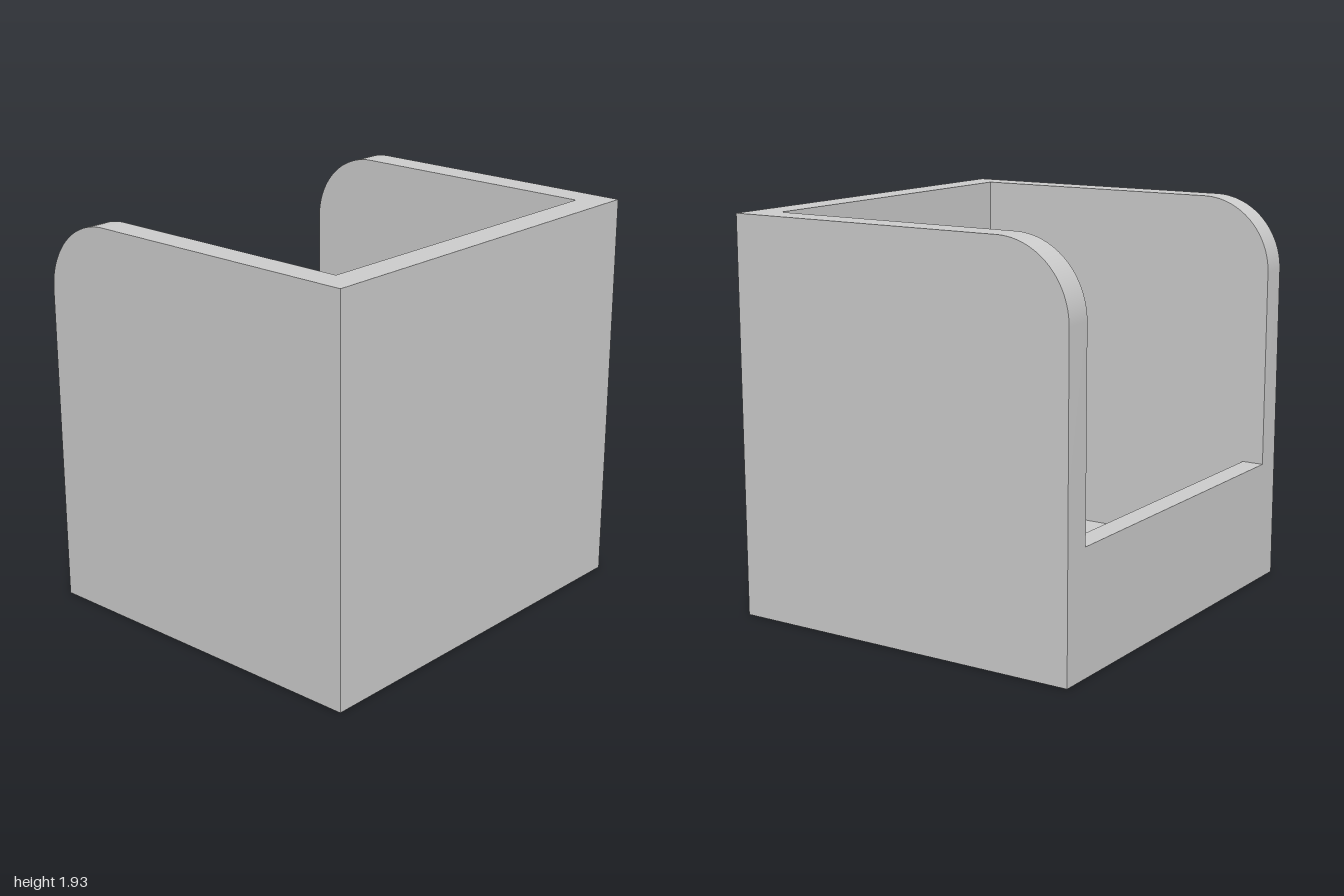
import * as THREE from 'three';
import { toCreasedNormals } from 'three/addons/utils/BufferGeometryUtils.js';

const HEIGHT = 1.935, DEPTH = 0.9, CORNER = 0.36;
const INNER_RIGHT = -0.865, INNER_LEFT = 0.855; // inside faces of the side walls
const INNER_FRONT = 0.755, INNER_BACK = -0.79;  // inside faces of front wall and back lip
const FLOOR = 0.145, LIP = 0.6;

const material = new THREE.MeshStandardMaterial({ color: 0xcccccc });

// Box given by its x, y and z ranges
function box(name, [x0, x1], [y0, y1], [z0, z1]) {
  const mesh = new THREE.Mesh(new THREE.BoxGeometry(x1 - x0, y1 - y0, z1 - z0), material);
  mesh.position.set((x0 + x1) / 2, (y0 + y1) / 2, (z0 + z1) / 2);
  mesh.name = name;
  return mesh;
}

// Side wall: profile in z and y with a rounded upper back corner, extruded along x
function sideWall(name, x0, x1) {
  const profile = new THREE.Shape();
  profile.moveTo(-DEPTH, 0);
  profile.lineTo(DEPTH, 0);
  profile.lineTo(DEPTH, HEIGHT);
  profile.lineTo(-DEPTH + CORNER, HEIGHT);
  profile.absarc(-DEPTH + CORNER, HEIGHT - CORNER, CORNER, Math.PI / 2, Math.PI, false);
  profile.closePath();
  const geometry = new THREE.ExtrudeGeometry(profile, {
    depth: x1 - x0, bevelEnabled: false, curveSegments: 24,
  });
  geometry.rotateY(-Math.PI / 2);
  const mesh = new THREE.Mesh(toCreasedNormals(geometry, 0.5), material);
  mesh.position.x = x1;
  mesh.name = name;
  return mesh;
}

export function createModel() {
  const group = new THREE.Group();
  group.name = 'openBackedBin';
  const inside = [INNER_RIGHT, INNER_LEFT];

  group.add(
    sideWall('rightWall', -1, INNER_RIGHT),
    sideWall('leftWall', INNER_LEFT, 1),
    box('frontWall', inside, [0, HEIGHT], [INNER_FRONT, DEPTH]),
    box('backLip', inside, [0, LIP], [-DEPTH, INNER_BACK]),
    box('floor', inside, [0, FLOOR], [INNER_BACK, INNER_FRONT]),
  );
  return group;
}
